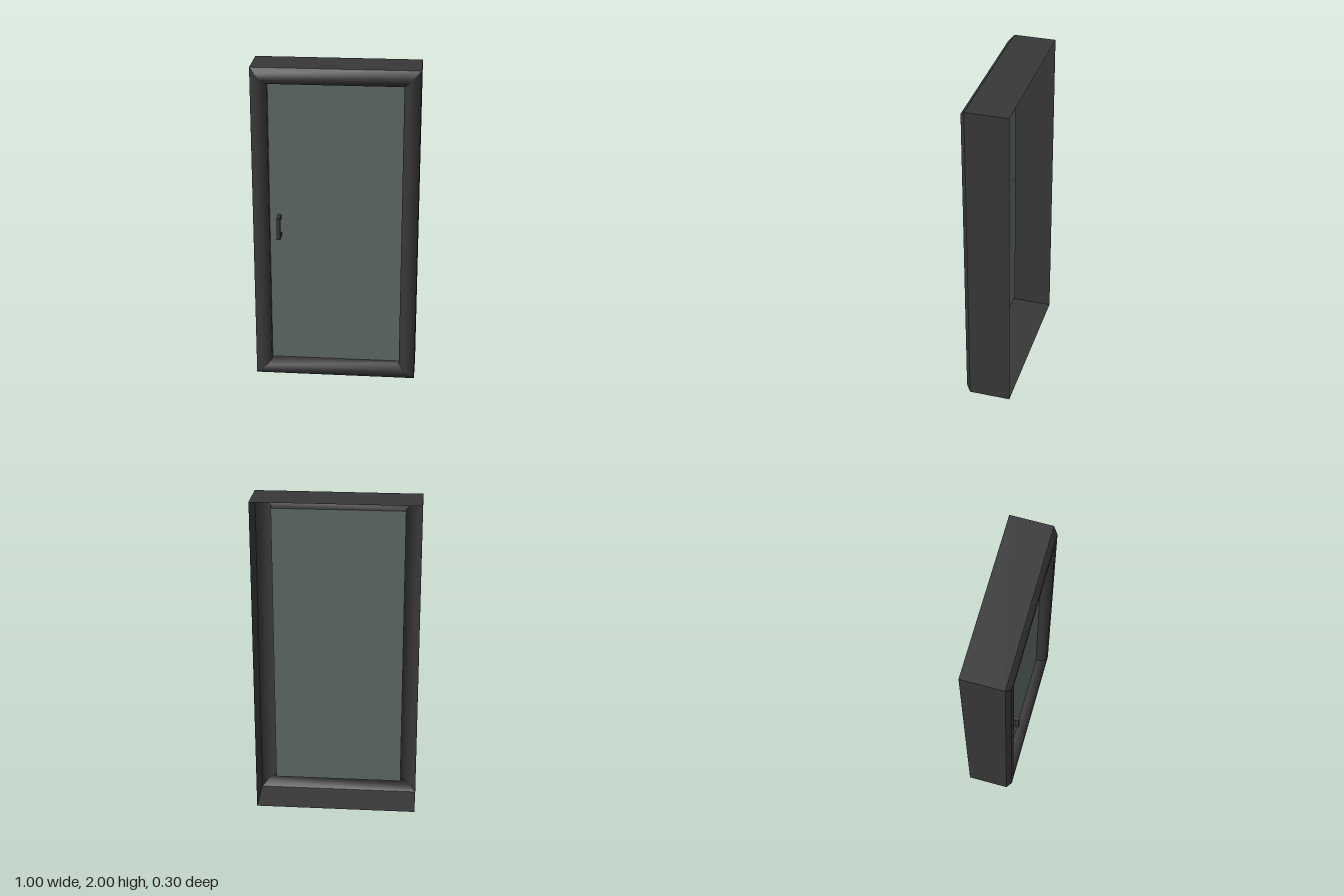
import * as THREE from 'three';

const W = 0.5, CY = 1, HALF_H = 1;

// Four mitred strips around a rectangle; profile points are [inset from outer edge, z].
function mitredRing(name, profile, material) {
  const ring = new THREE.Group();
  ring.name = name;
  const corners = [[-1, -1], [1, -1], [1, 1], [-1, 1]];
  corners.forEach((a, i) => {
    const b = corners[(i + 1) % 4];
    const positions = [], index = [];
    profile.forEach(([inset, z], k) => {
      for (const [sx, sy] of [a, b]) {
        positions.push(sx * (W - inset), CY + sy * (HALF_H - inset), z);
      }
      if (k > 0) {
        const p = 2 * (k - 1);
        index.push(p, p + 1, p + 3, p, p + 3, p + 2);
      }
    });
    const geometry = new THREE.BufferGeometry();
    geometry.setAttribute('position', new THREE.Float32BufferAttribute(positions, 3));
    geometry.setIndex(index);
    geometry.computeVertexNormals();
    const mesh = new THREE.Mesh(geometry, material);
    mesh.name = name + ['Bottom', 'Left', 'Top', 'Right'][i];
    ring.add(mesh);
  });
  return ring;
}

export function createModel() {
  const model = new THREE.Group();
  model.name = 'framedGlassDoor';
  const dark = new THREE.MeshStandardMaterial({ color: 0x383838, side: THREE.DoubleSide });
  const tinted = new THREE.MeshStandardMaterial({ color: 0x5f6b69, side: THREE.DoubleSide });

  // Thin side walls, open at the back
  model.add(mitredRing('casing', [[0, -0.148], [0, 0.108]], dark));

  // Softly shaded front moulding that drops back to the glass
  model.add(mitredRing('moulding',
    [[0, 0.108], [0.03, 0.137], [0.07, 0.137], [0.098, 0.108], [0.098, 0.07]], dark));

  // Glass pane
  const glass = new THREE.Mesh(new THREE.PlaneGeometry(0.804, 1.804), tinted);
  glass.name = 'glass';
  glass.position.set(0, CY, 0.07);
  model.add(glass);

  // Pull handle: upright grip on two posts
  const handle = new THREE.Group();
  handle.name = 'handle';
  handle.position.set(-0.342, 1.004, 0);
  const addBox = (name, h, d, y, z) => {
    const mesh = new THREE.Mesh(new THREE.BoxGeometry(0.022, h, d), dark);
    mesh.name = name;
    mesh.position.set(0, y, z);
    handle.add(mesh);
  };
  addBox('handleGrip', 0.138, 0.022, 0, 0.136);
  addBox('handlePostTop', 0.022, 0.055, 0.058, 0.0975);
  addBox('handlePostBottom', 0.022, 0.055, -0.058, 0.0975);
  model.add(handle);

  return model;
}
